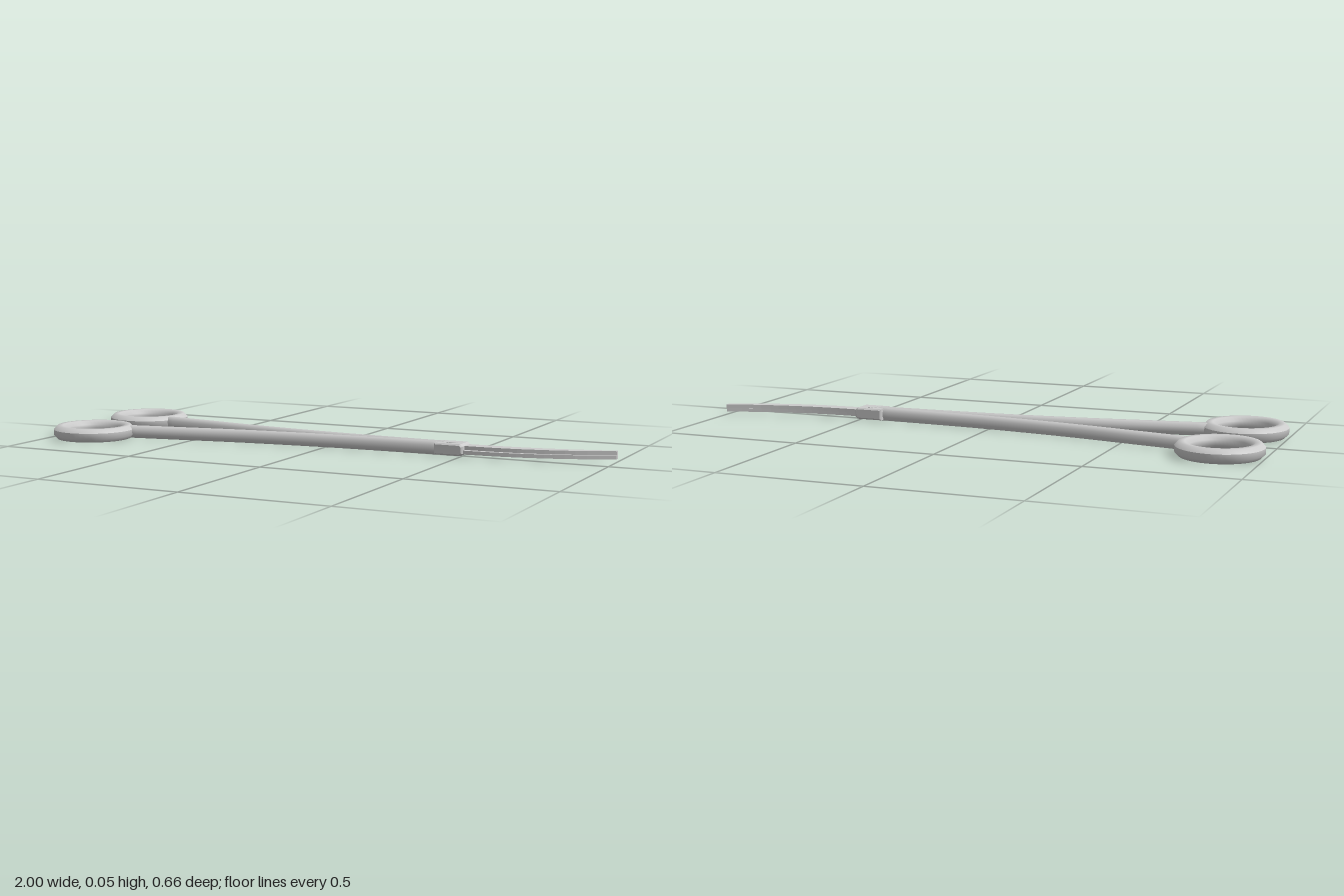
import * as THREE from 'three';

const material = new THREE.MeshStandardMaterial({ color: 0xcccccc });
const MID = 0.026; // height of the centre plane

function add(group, name, geometry) {
  const mesh = new THREE.Mesh(geometry, material);
  mesh.name = name;
  group.add(mesh);
  return mesh;
}

// Finger ring: octagonal section, flat on top and bottom
function ringGeometry() {
  const points = [];
  const r = 0.0235 / Math.cos(Math.PI / 8);
  for (let i = 0; i <= 8; i++) {
    const a = Math.PI / 8 + (i * Math.PI) / 4;
    points.push(new THREE.Vector2(0.1215 + r * Math.cos(a), r * Math.sin(a)));
  }
  return new THREE.LatheGeometry(points, 48);
}

// Shank: an octagonal cylinder bent along a curve and tapered towards the joint
function shankGeometry(side) {
  const curve = new THREE.CatmullRomCurve3(
    [[-0.735, 0.134], [-0.55, 0.102], [-0.3, 0.06], [0, 0.027], [0.2, 0.015], [0.43, 0.006]]
      .map(([x, z]) => new THREE.Vector3(x, MID, z * side)));
  const geometry = new THREE.CylinderGeometry(1, 1, 1, 8, 28, false, Math.PI * 1.125);
  const p = geometry.attributes.position;
  const up = new THREE.Vector3(0, 1, 0);
  for (let i = 0; i < p.count; i++) {
    const t = p.getY(i) + 0.5;
    const c = curve.getPoint(t);
    const across = curve.getTangent(t).cross(up).normalize();
    c.addScaledVector(across, p.getX(i) * THREE.MathUtils.lerp(0.022, 0.018, t));
    c.y += p.getZ(i) * THREE.MathUtils.lerp(0.0235, 0.0245, t);
    p.setXYZ(i, c.x, c.y, c.z);
  }
  geometry.computeVertexNormals();
  return geometry;
}

// Jaw: flat curved blade, outlined in plan by its two long edges
function jawGeometry(back, front, thickness) {
  const sample = (edge) => new THREE.SplineCurve(
    edge.map(([x, z]) => new THREE.Vector2(x, -z))).getPoints(18);
  const outline = [...sample(front), ...sample(back).reverse()];
  const geometry = new THREE.ExtrudeGeometry(new THREE.Shape(outline),
    { depth: thickness, bevelEnabled: false });
  return geometry.rotateX(-Math.PI / 2);
}

// Box joint: chamfered block
function jointGeometry() {
  const x = 0.046, y = 0.015, c = 0.005;
  const shape = new THREE.Shape([
    [-x, -y], [x - c, -y], [x, -y + c], [x, y - c], [x - c, y], [-x, y],
  ].map(([a, b]) => new THREE.Vector2(a, b)));
  return new THREE.ExtrudeGeometry(shape, {
    depth: 0.07, bevelEnabled: true, bevelSize: 0.005, bevelThickness: 0.005, bevelSegments: 1,
  }).translate(0, 0, -0.035);
}

export function createModel() {
  const model = new THREE.Group();
  model.name = 'curvedForceps';

  // Mirrored handles
  for (const side of [1, -1]) {
    const handle = new THREE.Group();
    handle.name = side > 0 ? 'frontHandle' : 'backHandle';
    add(handle, 'fingerRing', ringGeometry()).position.set(-0.855, MID, side * 0.183);
    add(handle, 'shank', shankGeometry(side));
    model.add(handle);
  }

  // Joint with its pivot pin
  add(model, 'boxJoint', jointGeometry()).position.set(0.461, 0.027, 0);
  add(model, 'pivotPin', new THREE.CylinderGeometry(0.019, 0.019, 0.043, 20))
    .position.set(0.461, 0.027, 0);

  // Two stacked jaws curving to the back
  add(model, 'upperJaw', jawGeometry(
    [[0.48, -0.03], [0.6, -0.033], [0.72, -0.044], [0.86, -0.071], [1, -0.11]],
    [[0.48, 0.017], [0.6, 0.013], [0.72, -0.002], [0.86, -0.038], [1, -0.096]],
    0.013)).position.y = 0.0265;
  add(model, 'lowerJaw', jawGeometry(
    [[0.48, -0.018], [0.6, -0.021], [0.72, -0.034], [0.86, -0.065], [1, -0.108]],
    [[0.48, 0.031], [0.6, 0.023], [0.72, 0.005], [0.86, -0.034], [1, -0.094]],
    0.013)).position.y = 0.0125;

  return model;
}
